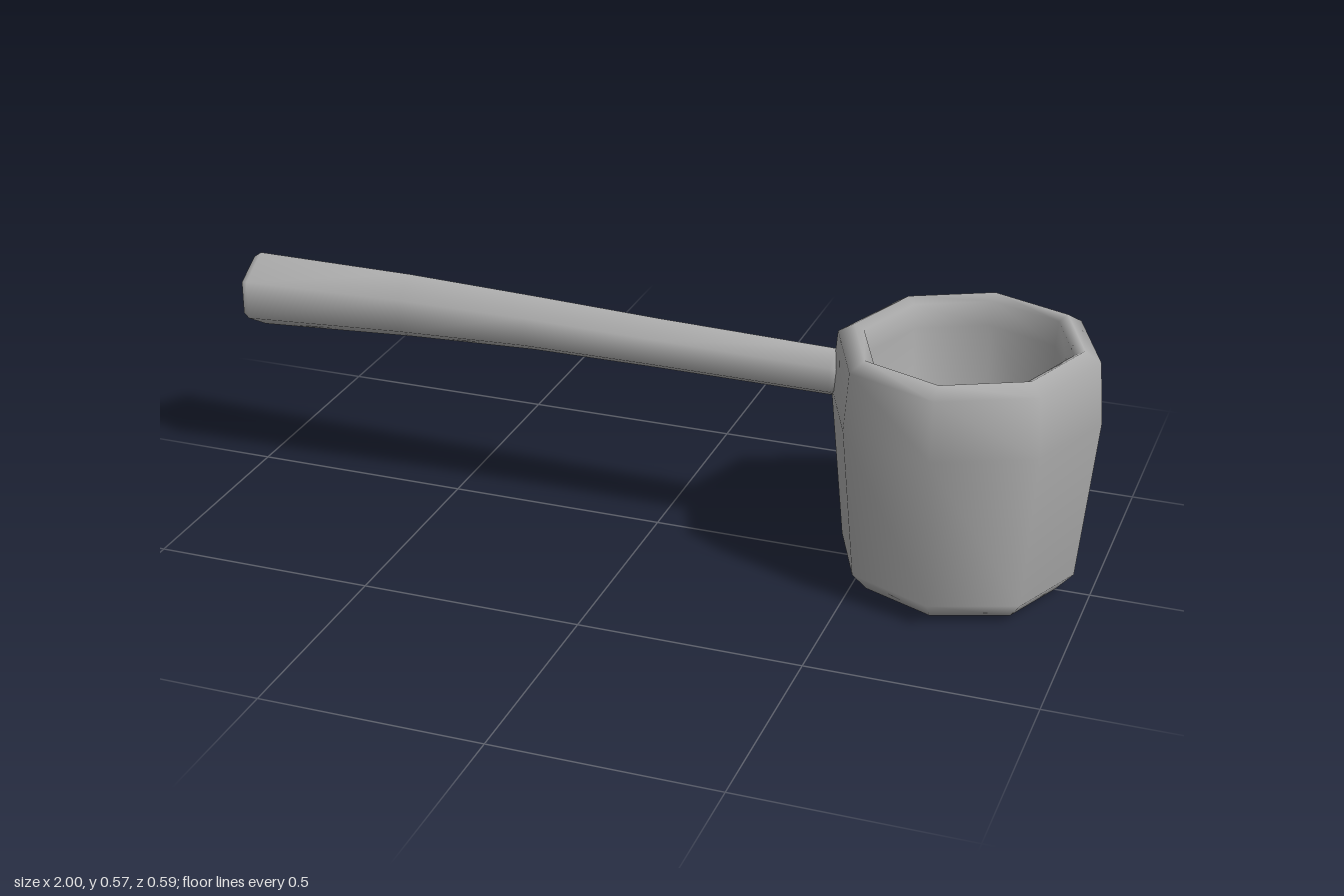
import * as THREE from 'three';

const wood = new THREE.MeshStandardMaterial({ color: 0xb0b0b0 });
wood.name = 'plainGrey';

// Eight-sided hollow cup, slightly uneven at its rim and base
function makeCup() {
  const profile = [
    [0, 0.006], [0.225, 0.006], [0.262, 0.048], [0.297, 0.41], [0.286, 0.545],
    [0.25, 0.567], [0.228, 0.555], [0.222, 0.5], [0.212, 0.28], [0.165, 0.14], [0, 0.1],
  ].map(([r, y]) => new THREE.Vector2(r, y));
  const geo = new THREE.LatheGeometry(profile, 8);
  const p = geo.attributes.position;
  for (let i = 0; i < p.count; i++) {
    const x = p.getX(i), y = p.getY(i), z = p.getZ(i);
    p.setY(i, y + ((x - z) / 0.29) * 0.006 * (y / 0.285 - 1));
  }
  const cup = new THREE.Mesh(geo, wood);
  cup.name = 'cup';
  cup.position.x = 0.7;
  return cup;
}

// Six-sided handle lofted along x; each section is [x, y, z, radius]
function makeHandle() {
  const sections = [
    [-1, 0.441, -0.003, 0.077], [-0.982, 0.441, -0.003, 0.09],
    [-0.6, 0.454, 0.002, 0.077], [-0.3, 0.453, -0.003, 0.066],
    [0, 0.446, -0.006, 0.06], [0.41, 0.44, -0.004, 0.056], [0.43, 0.44, -0.004, 0.045],
  ];
  const sides = 6, pos = [], index = [];
  const ring = ([x, y, z, r]) => {
    for (let i = 0; i < sides; i++) {
      const a = (i / sides) * Math.PI * 2;
      pos.push(x, y + Math.cos(a) * r, z + Math.sin(a) * r);
    }
  };
  sections.forEach(ring);
  for (let s = 0; s < sections.length - 1; s++) {
    for (let i = 0; i < sides; i++) {
      const a = s * sides + i, b = s * sides + ((i + 1) % sides);
      index.push(a, b, a + sides, b, b + sides, a + sides);
    }
  }
  // End caps on their own rings, so they stay flat
  [sections[0], sections[sections.length - 1]].forEach((section, end) => {
    const base = pos.length / 3;
    ring(section);
    for (let i = 1; i < sides - 1; i++) {
      if (end) index.push(base, base + i, base + i + 1);
      else index.push(base, base + i + 1, base + i);
    }
  });
  const geo = new THREE.BufferGeometry();
  geo.setAttribute('position', new THREE.Float32BufferAttribute(pos, 3));
  geo.setIndex(index);
  geo.computeVertexNormals();
  const handle = new THREE.Mesh(geo, wood);
  handle.name = 'handle';
  return handle;
}

export function createModel() {
  const model = new THREE.Group();
  model.name = 'ladle';
  model.add(makeCup(), makeHandle());
  return model;
}
